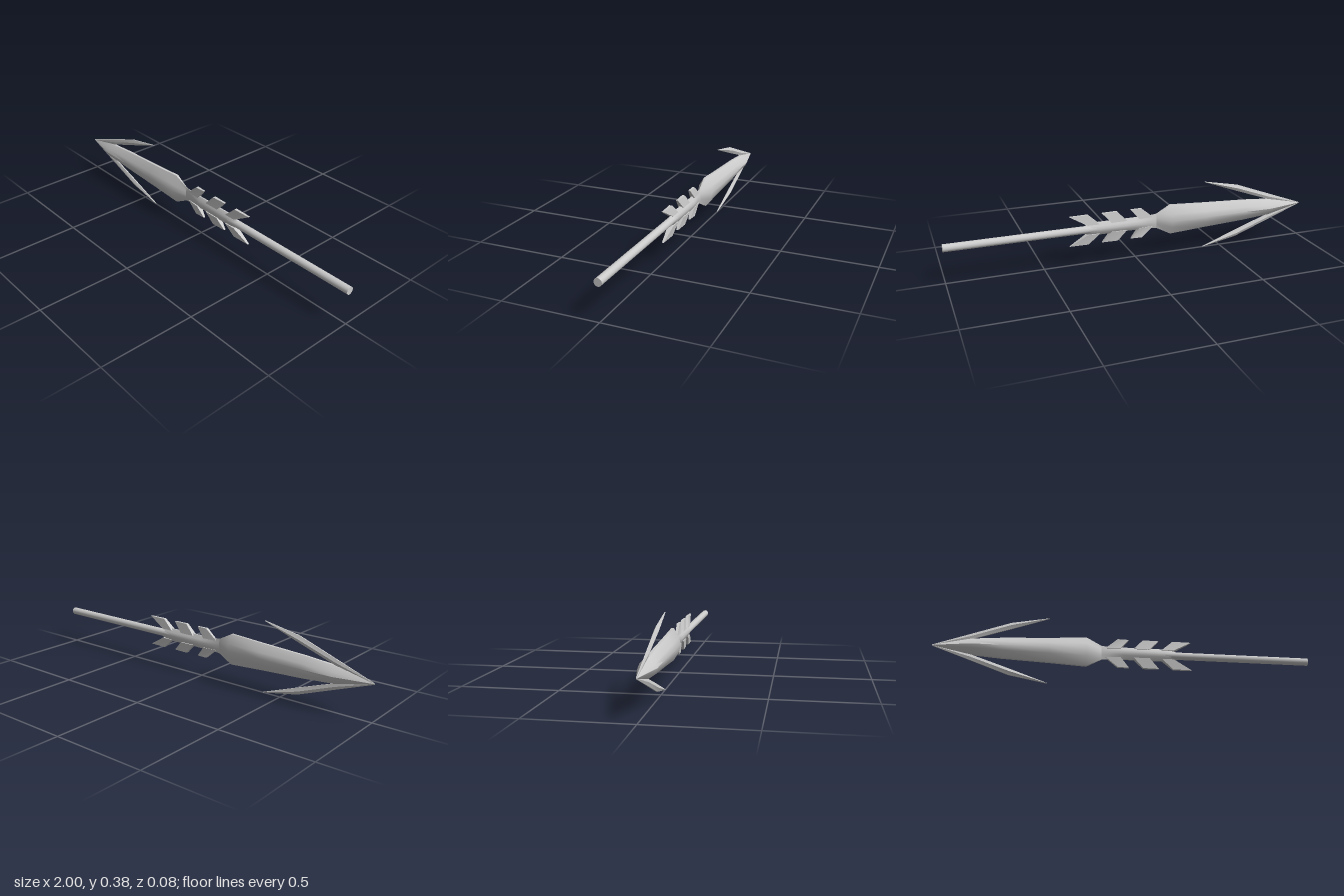
import * as THREE from 'three';
import { toCreasedNormals } from 'three/addons/utils/BufferGeometryUtils.js';

const AXIS_Y = 0.189;

// Skin a list of equal-length rings of [x, y, z] points, with both ends capped.
function loft(rings, crease) {
  const n = rings[0].length, last = (rings.length - 1) * n, index = [];
  for (let i = 0; i < rings.length - 1; i++) {
    for (let j = 0; j < n; j++) {
      const a = i * n + j, b = i * n + (j + 1) % n;
      index.push(a, a + n, b, b, a + n, b + n);
    }
  }
  for (let j = 1; j < n - 1; j++) {
    index.push(0, j, j + 1, last, last + j + 1, last + j);
  }
  const g = new THREE.BufferGeometry();
  g.setAttribute('position', new THREE.Float32BufferAttribute(rings.flat(2), 3));
  g.setIndex(index);
  return toCreasedNormals(g, crease);
}

export function createModel() {
  const group = new THREE.Group();
  const material = new THREE.MeshStandardMaterial({ color: 0xcccccc });
  const add = (parent, name, geometry) => {
    const mesh = new THREE.Mesh(geometry, material);
    mesh.name = name;
    parent.add(mesh);
    return mesh;
  };

  const spear = new THREE.Group();
  spear.name = 'spear';
  spear.position.y = AXIS_Y;
  group.add(spear);

  // Blade and barbed socket: [x, half height, half depth]
  const outline = [[1, 0], [0.8, 0.44], [0.16, 1], [-0.16, 1], [-0.8, 0.44],
    [-1, 0], [-0.8, -0.44], [-0.16, -1], [0.16, -1], [0.8, -0.44]];
  const section = ([x, h, d]) => outline.map(([z, y]) => [x, y * h, z * d]);
  add(spear, 'blade', loft([
    [-1, 0.002, 0.002], [-0.8, 0.045, 0.042], [-0.64, 0.058, 0.042],
    [-0.4, 0.07, 0.042], [-0.2, 0.082, 0.042], [-0.12, 0.04, 0.007],
  ].map(section), 0.65));
  add(spear, 'socket', loft([
    [-0.12, 0.04, 0.007], [-0.08, 0.036, 0.008], [0.0, 0.035, 0.02],
    [0.23, 0.035, 0.02], [0.29, 0.018, 0.019],
  ].map(section), 0.65));

  // Round shaft
  const shaft = new THREE.CylinderGeometry(0.02, 0.02, 0.78, 20);
  shaft.rotateZ(-Math.PI / 2);
  add(spear, 'shaft', shaft).position.x = 0.61;

  // Swept prong: [x, inner y, outer y, half depth, half edge thickness]
  const prong = loft([
    [-1, -0.003, 0.003, 0.002, 0.001], [-0.8, 0.044, 0.076, 0.008, 0.003],
    [-0.6, 0.114, 0.15, 0.012, 0.003], [-0.4, 0.186, 0.189, 0.003, 0.002],
  ].map(([x, lo, hi, d, e]) => {
    const mid = (lo + hi) / 2;
    return [[x, mid, d], [x, hi, e], [x, hi, -e], [x, mid, -d], [x, lo, -e], [x, lo, e]];
  }), 0.4);

  // Barbs: [base start, base end, top start, top end, base depth at start, at end]
  const barbs = [
    [-0.1, -0.02, -0.035, 0.025, 0.006, 0.014],
    [0.05, 0.135, 0.1, 0.185, 0.015, 0.015],
    [0.2, 0.265, 0.26, 0.36, 0.015, 0.015],
  ].map(([b0, b1, t0, t1, d0, d1]) => {
    const ring = (x0, x1, y, z0, z1) =>
      [[x1, y, -z1], [x1, y, z1], [x0, y, z0], [x0, y, -z0]];
    return loft([
      ring(b0, b1, 0.026, d0, d1),
      ring(t0, t1, 0.081, 0.008, 0.005),
    ], 0.4);
  });

  // Prong and barbs repeat on the upper and lower edges
  for (const side of ['upper', 'lower']) {
    const half = new THREE.Group();
    half.name = side + 'Edge';
    if (side === 'lower') half.rotation.x = Math.PI;
    add(half, side + 'Prong', prong);
    barbs.forEach((g, i) => add(half, side + 'Barb' + (i + 1), g));
    spear.add(half);
  }
  return group;
}
